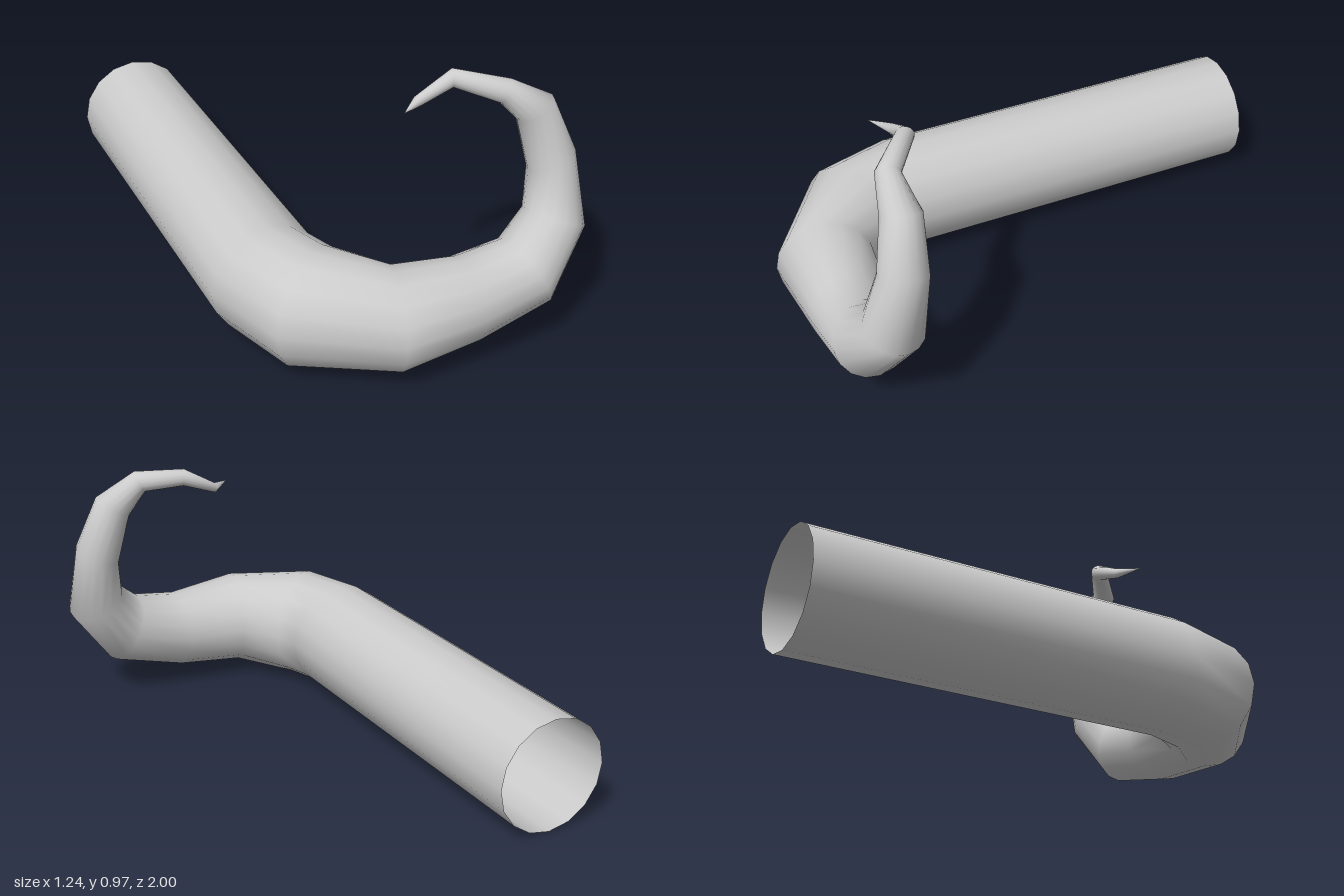
import * as THREE from 'three';

const SIDES = 16;

// Cross-sections from the open base to the tip: centre, direction, radius
const RINGS = [
  [-0.41, 0.215, -1.0, 0, 0, 1, 0.213],
  [-0.41, 0.215, 0.43, 0, 0, 1, 0.213],
  [-0.345, 0.215, 0.635, 0.25, 0, 0.35, 0.215],
  [-0.12, 0.217, 0.822, 0.355, 0, 0.085, 0.182],
  [0.15, 0.216, 0.82, 1, 0.05, 0, 0.151],
  [0.385, 0.268, 0.82, 0.245, 0.13, -0.02, 0.139],
  [0.518, 0.423, 0.775, 0.095, 0.205, -0.05, 0.113],
  [0.518, 0.633, 0.73, -0.06, 0.165, -0.035, 0.089],
  [0.455, 0.828, 0.703, -0.08, 0.14, -0.02, 0.073],
  [0.338, 0.912, 0.7, -0.2, 0.11, -0.08, 0.045],
  [0.2, 0.938, 0.588, -1, -0.05, -0.4, 0.033],
  [0.07, 0.878, 0.588, -1, -0.15, 0.4, 0.019],
  [-0.01, 0.88, 0.648, -0.8, 0, 0.6, 0.001],
];

// Skin the rings with smooth normals, carrying the frame along without twist
function tentacleGeometry() {
  const positions = [];
  const index = [];
  const u = new THREE.Vector3(1, 0, 0);
  const lastDir = new THREE.Vector3(0, 0, 1);
  const turn = new THREE.Quaternion();

  RINGS.forEach(([x, y, z, dx, dy, dz, radius], i) => {
    const dir = new THREE.Vector3(dx, dy, dz).normalize();
    u.applyQuaternion(turn.setFromUnitVectors(lastDir, dir));
    const v = new THREE.Vector3().crossVectors(dir, u);
    lastDir.copy(dir);

    for (let j = 0; j < SIDES; j++) {
      const a = (j / SIDES) * Math.PI * 2;
      const p = new THREE.Vector3(x, y, z)
        .addScaledVector(u, Math.cos(a) * radius)
        .addScaledVector(v, Math.sin(a) * radius);
      positions.push(p.x, p.y, p.z);

      if (i > 0) {
        const k = (j + 1) % SIDES;
        const low = (i - 1) * SIDES;
        const high = i * SIDES;
        index.push(low + j, low + k, high + k, low + j, high + k, high + j);
      }
    }
  });

  const geometry = new THREE.BufferGeometry();
  geometry.setAttribute('position', new THREE.Float32BufferAttribute(positions, 3));
  geometry.setIndex(index);
  geometry.computeVertexNormals();
  return geometry;
}

export function createModel() {
  const group = new THREE.Group();
  group.name = 'curledTentacle';
  const material = new THREE.MeshStandardMaterial({ color: 0xcccccc, side: THREE.DoubleSide });

  // Hollow tapering arm, open at the base
  const tentacle = new THREE.Mesh(tentacleGeometry(), material);
  tentacle.name = 'tentacle';
  group.add(tentacle);
  return group;
}
